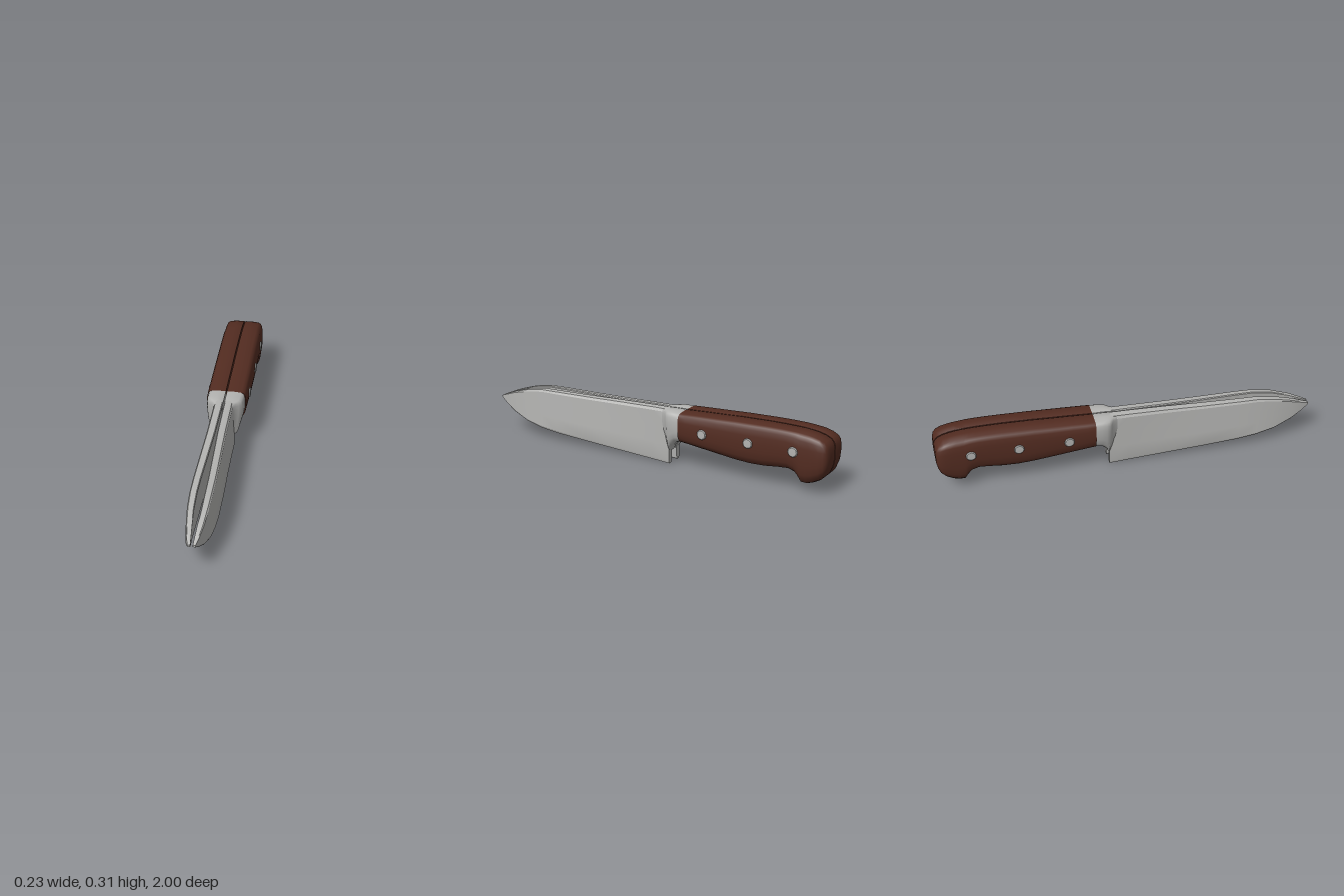
import * as THREE from 'three';
import { toCreasedNormals } from 'three/addons/utils/BufferGeometryUtils.js';

const lerp = THREE.MathUtils.lerp;

// Cross-section outlines: u runs inner to outer, v runs bottom to top
const ROUNDED = [[0, 0.01], [0.04, 0], [0.45, 0], [0.68, 0.03], [0.84, 0.09], [0.94, 0.2], [0.99, 0.36], [1, 0.55],
  [0.99, 0.72], [0.95, 0.86], [0.88, 0.94], [0.75, 0.98], [0.4, 1], [0.04, 1], [0, 0.99]];
const BLADE = [[0, 0.02], [0.12, 0], [0.85, 0], [1, 0.05], [1, 0.35], [1, 0.65], [1, 0.94],
  [0.85, 0.99], [0.65, 1], [0.1, 1], [0, 0.98], [0, 0.65], [0, 0.35]];

// Stations in rising z: [z, bottom, top, innerBottom, outerBottom, innerTop, outerTop]
const BLADE_STATIONS = [
  [-0.10, 0.000, 0.294, 0.028, 0.055, 0.003, 0.050],
  [0.00, 0.007, 0.293, 0.028, 0.056, 0.003, 0.050],
  [0.20, 0.021, 0.288, 0.030, 0.061, 0.005, 0.050],
  [0.40, 0.036, 0.283, 0.030, 0.068, 0.011, 0.054],
  [0.60, 0.050, 0.280, 0.030, 0.071, 0.017, 0.057],
  [0.70, 0.062, 0.278, 0.029, 0.069, 0.018, 0.056],
  [0.80, 0.083, 0.262, 0.026, 0.062, 0.017, 0.052],
  [0.90, 0.120, 0.232, 0.018, 0.046, 0.012, 0.042],
  [0.96, 0.153, 0.207, 0.011, 0.031, 0.008, 0.030],
  [1.00, 0.180, 0.190, 0.006, 0.019, 0.006, 0.019]];
const BOLSTER_STATIONS = [
  [-0.185, 0.137, 0.296, 0.003, 0.098, 0.003, 0.102],
  [-0.145, 0.126, 0.296, 0.003, 0.094, 0.003, 0.102],
  [-0.120, 0.103, 0.296, 0.003, 0.086, 0.003, 0.101],
  [-0.103, 0.070, 0.295, 0.006, 0.076, 0.003, 0.098],
  [-0.090, 0.090, 0.294, 0.006, 0.064, 0.003, 0.084],
  [-0.075, 0.130, 0.293, 0.006, 0.056, 0.003, 0.064],
  [-0.055, 0.170, 0.291, 0.006, 0.050, 0.003, 0.052]];

// Handle stations: [z, bottom, top, outer]
const HANDLE_STATIONS = [
  [-1.00, 0.165, 0.245, 0.080], [-0.993, 0.130, 0.265, 0.094], [-0.98, 0.100, 0.280, 0.102],
  [-0.955, 0.075, 0.293, 0.106], [-0.92, 0.056, 0.303, 0.107], [-0.89, 0.046, 0.308, 0.107],
  [-0.86, 0.047, 0.311, 0.107], [-0.845, 0.070, 0.312, 0.107], [-0.825, 0.093, 0.313, 0.107],
  [-0.79, 0.106, 0.314, 0.107], [-0.74, 0.103, 0.315, 0.107], [-0.66, 0.094, 0.315, 0.107],
  [-0.58, 0.092, 0.313, 0.107], [-0.50, 0.097, 0.311, 0.107], [-0.40, 0.109, 0.306, 0.107],
  [-0.30, 0.121, 0.302, 0.106], [-0.22, 0.131, 0.298, 0.106], [-0.178, 0.135, 0.296, 0.105],
].map(([z, b, t, o]) => [z, b, t, 0.003, o, 0.003, o]);

// Skin an outline through the stations; side = 1 or -1 mirrors it
function loft(outline, stations, side, crease) {
  const pos = [], idx = [], n = outline.length;
  const tri = (a, b, c) => (side > 0 ? idx.push(a, b, c) : idx.push(a, c, b));
  for (const [z, bottom, top, inB, outB, inT, outT] of stations) {
    for (const [u, v] of outline) {
      pos.push(side * lerp(lerp(inB, inT, v), lerp(outB, outT, v), u), lerp(bottom, top, v), z);
    }
  }
  for (let i = 0; i < stations.length - 1; i++) {
    for (let j = 0; j < n; j++) {
      const a = i * n + j, b = i * n + (j + 1) % n;
      tri(a, b, b + n);
      tri(a, b + n, a + n);
    }
  }
  // End caps
  for (const [i, isEnd] of [[0, false], [stations.length - 1, true]]) {
    const [z, bottom, top, inB, outB, inT, outT] = stations[i];
    const c = pos.length / 3;
    pos.push(side * (inB + outB + inT + outT) / 4, (bottom + top) / 2, z);
    for (let j = 0; j < n; j++) {
      const a = i * n + j, b = i * n + (j + 1) % n;
      if (isEnd) tri(c, a, b); else tri(c, b, a);
    }
  }
  const geo = new THREE.BufferGeometry();
  geo.setAttribute('position', new THREE.Float32BufferAttribute(pos, 3));
  geo.setIndex(idx);
  return toCreasedNormals(geo, crease);
}

export function createModel() {
  const steel = new THREE.MeshStandardMaterial({ name: 'steel', color: 0xb3b3b1 });
  const wood = new THREE.MeshStandardMaterial({ name: 'dark wood', color: 0x532c21 });
  const model = new THREE.Group();
  model.name = 'knife';

  for (const side of [1, -1]) {
    const half = new THREE.Group();
    half.name = side > 0 ? 'leftHalf' : 'rightHalf';
    const add = (name, geo, mat) => {
      const mesh = new THREE.Mesh(geo, mat);
      mesh.name = name;
      half.add(mesh);
      return mesh;
    };
    add('blade', loft(BLADE, BLADE_STATIONS, side, 0.45), steel);
    add('bolster', loft(ROUNDED, BOLSTER_STATIONS, side, 0.7), steel);
    add('handleScale', loft(ROUNDED, HANDLE_STATIONS, side, 0.9), wood);

    // Rivets with slightly domed heads
    for (const z of [-0.32, -0.58, -0.825]) {
      const profile = [[0, 0], [0.026, 0], [0.026, 0.021], [0.022, 0.025], [0, 0.026]]
        .map(([r, h]) => new THREE.Vector2(r, h));
      const rivet = add('rivet', toCreasedNormals(new THREE.LatheGeometry(profile, 20), 0.6), steel);
      rivet.rotation.z = -side * Math.PI / 2;
      rivet.position.set(side * 0.088, 0.212, z);
    }
    model.add(half);
  }
  return model;
}
